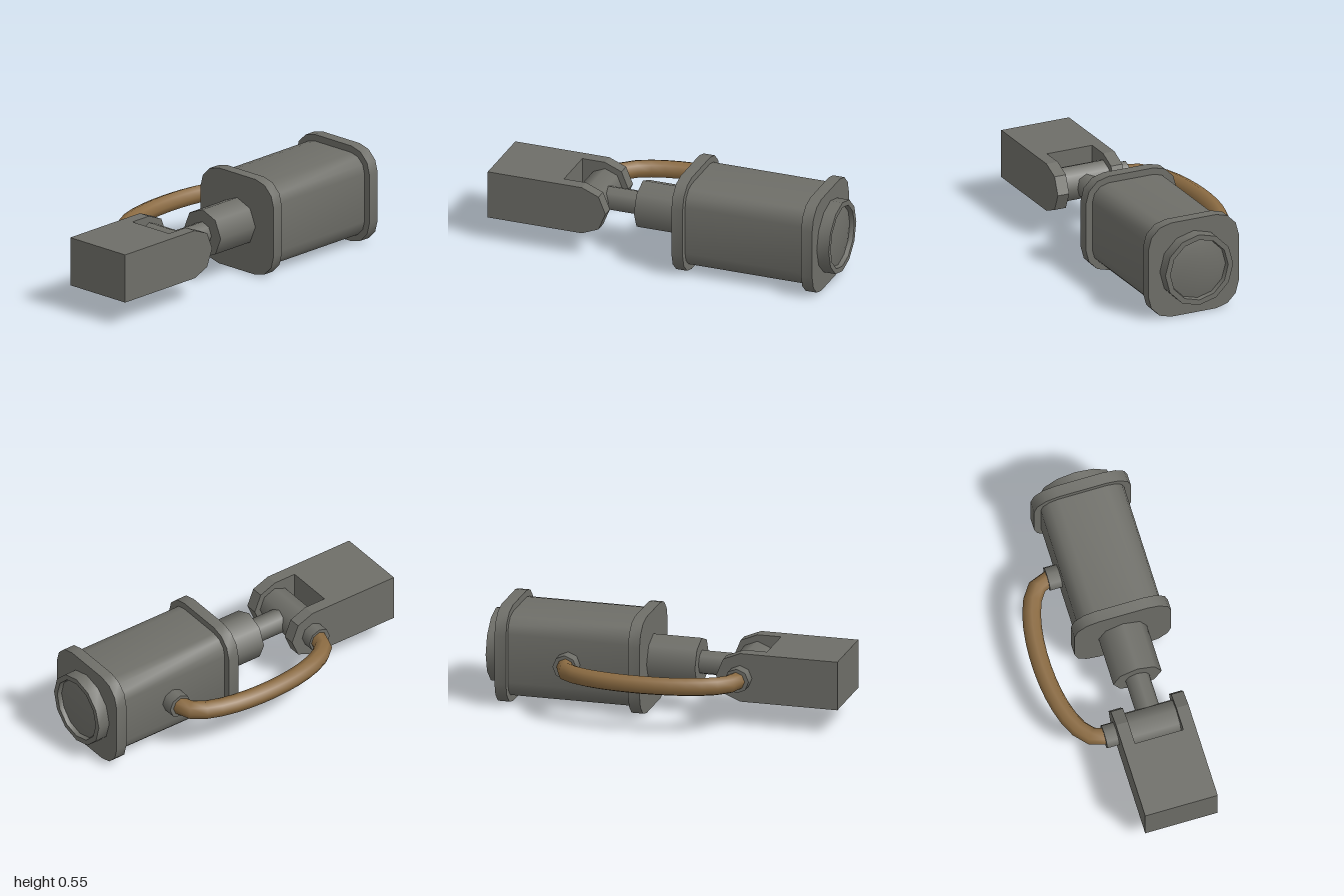
import * as THREE from 'three';
import { toCreasedNormals } from 'three/addons/utils/BufferGeometryUtils.js';

const CX = 0.128, CY = 0.277; // main axis of the cylinder

export function createModel() {
  const model = new THREE.Group();
  model.name = 'hydraulicActuator';

  const steel = new THREE.MeshStandardMaterial({ color: 0x6e6e68 });
  steel.name = 'grey steel';
  const rubber = new THREE.MeshStandardMaterial({ color: 0x8b6b42 });
  rubber.name = 'brown hose';

  const add = (name, geometry, material = steel) => {
    const mesh = new THREE.Mesh(geometry, material);
    mesh.name = name;
    model.add(mesh);
    return mesh;
  };

  // Cylinder along z, on the main axis
  const rodZ = (name, r, z0, z1, sides = 8) => {
    const g = new THREE.CylinderGeometry(r, r, z1 - z0, sides).rotateX(Math.PI / 2);
    return add(name, g.translate(CX, CY, (z0 + z1) / 2));
  };
  // Cylinder along x
  const rodX = (name, r, x0, x1, z) => {
    const g = new THREE.CylinderGeometry(r, r, x1 - x0, 8).rotateZ(Math.PI / 2);
    return add(name, g.translate((x0 + x1) / 2, CY, z));
  };
  // Square block with rounded corners, along z
  const roundedBlock = (name, half, radius, z0, z1) => {
    const points = [];
    const c = half - radius;
    [[1, 1], [-1, 1], [-1, -1], [1, -1]].forEach(([sx, sy], corner) => {
      for (let i = 0; i <= 3; i++) {
        const a = (corner + i / 3) * Math.PI / 2;
        points.push(new THREE.Vector2(sx * c + radius * Math.cos(a), sy * c + radius * Math.sin(a)));
      }
    });
    const g = new THREE.ExtrudeGeometry(new THREE.Shape(points), { depth: z1 - z0, bevelEnabled: false });
    add(name, toCreasedNormals(g.translate(CX, CY, z0), 0.7));
  };

  // Barrel with a flange at each end
  roundedBlock('barrel', 0.238, 0.1, -0.87, -0.165);
  roundedBlock('frontFlange', 0.276, 0.138, -0.17, -0.105);
  roundedBlock('rearFlange', 0.276, 0.138, -0.93, -0.865);

  // Rear cap: raised rim around a shallow recessed dome
  const capProfile = [
    [0.207, 0], [0.207, 0.07], [0.177, 0.07], [0.172, 0.045],
    [0.13, 0.054], [0.07, 0.061], [0, 0.064],
  ].map(([r, h]) => new THREE.Vector2(r, h));
  const cap = new THREE.LatheGeometry(capProfile, 12).rotateX(-Math.PI / 2);
  add('rearCap', toCreasedNormals(cap.translate(CX, CY, -0.93), 0.7));

  // Gland, piston rod and cross pin
  rodZ('gland', 0.138, -0.105, 0.17);
  rodZ('pistonRod', 0.068, 0.17, 0.43);
  rodX('crossPin', 0.1, CX - 0.138, CX + 0.138, 0.446);

  // Clevis: solid block with two round-nosed arms
  const block = new THREE.BoxGeometry(0.414, 0.276, 0.42);
  add('clevisBlock', block.translate(CX, CY, 0.79));
  const armPoints = [new THREE.Vector2(-0.58, -0.138)];
  for (let i = 0; i <= 4; i++) {
    const a = -Math.PI / 2 + (i * Math.PI) / 4;
    armPoints.push(new THREE.Vector2(-0.448 + 0.138 * Math.cos(a), 0.138 * Math.sin(a)));
  }
  armPoints.push(new THREE.Vector2(-0.58, 0.138));
  for (const [name, x] of [['rightClevisArm', CX - 0.207], ['leftClevisArm', CX + 0.138]]) {
    const g = new THREE.ExtrudeGeometry(new THREE.Shape(armPoints), { depth: 0.069, bevelEnabled: false });
    add(name, g.rotateY(Math.PI / 2).translate(x, CY, 0));
  }

  // Hose and its two fittings
  rodX('frontHoseFitting', 0.069, -0.147, -0.078, 0.446);
  rodX('rearHoseFitting', 0.069, -0.18, -0.11, -0.522);
  const path = new THREE.CubicBezierCurve3(
    new THREE.Vector3(-0.135, CY, 0.446),
    new THREE.Vector3(-0.42, CY, 0.455),
    new THREE.Vector3(-0.42, CY, -0.54),
    new THREE.Vector3(-0.17, CY, -0.522),
  );
  add('hose', new THREE.TubeGeometry(path, 14, 0.051, 8), rubber);

  return model;
}
